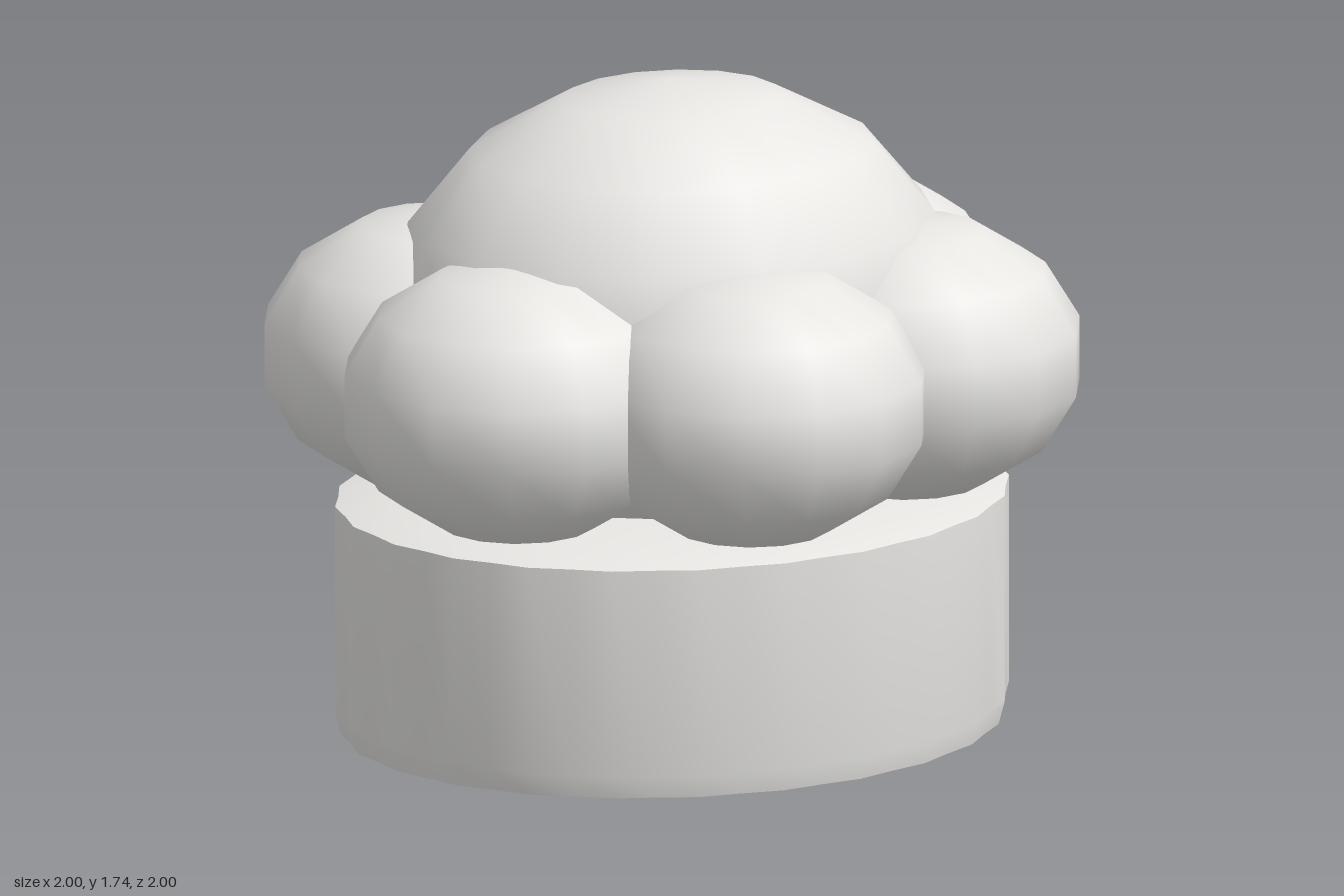
import * as THREE from 'three';
import { toCreasedNormals } from 'three/addons/utils/BufferGeometryUtils.js';

const STRETCH = 1.18; // the hat is wider than it is deep

export function createModel() {
  const cloth = new THREE.MeshStandardMaterial({ color: 0xf2f1ee });
  cloth.name = 'white cloth';
  const hat = new THREE.Group();
  hat.name = 'chefHat';

  const add = (name, geometry, x, y, z) => {
    const mesh = new THREE.Mesh(geometry, cloth);
    mesh.name = name;
    mesh.position.set(x, y, z);
    hat.add(mesh);
  };

  // Oval head band, gently pleated, with a closed base and a low domed lid
  const profile = [[0, 0], [0.752, 0], [0.766, 0.06], [0.766, 0.62], [0.66, 0.648], [0, 0.66]]
    .map(([r, y]) => new THREE.Vector2(r, y));
  const band = new THREE.LatheGeometry(profile, 48);
  const p = band.attributes.position;
  for (let i = 0; i < p.count; i++) {
    const angle = Math.atan2(p.getX(i), p.getZ(i));
    const pleat = 1 - 0.006 * (1 - Math.cos(24 * angle));
    p.setX(i, p.getX(i) * pleat * STRETCH);
    p.setZ(i, p.getZ(i) * pleat);
  }
  add('band', toCreasedNormals(band, 0.4), 0, 0, 0);

  // Ring of six puffs around the crown
  const puff = new THREE.SphereGeometry(0.472, 14, 7).rotateY(Math.PI / 2).scale(1, 0.795, 1);
  for (let i = 0; i < 6; i++) {
    const a = (i * Math.PI) / 3;
    add('puff' + (i + 1), puff, Math.sin(a) * 0.54 * STRETCH, 1, Math.cos(a) * 0.54);
  }

  // Large central crown
  const crown = new THREE.SphereGeometry(1, 16, 8).scale(0.765, 0.61, 0.648);
  add('crown', crown, 0, 1.13, 0);

  return hat;
}
